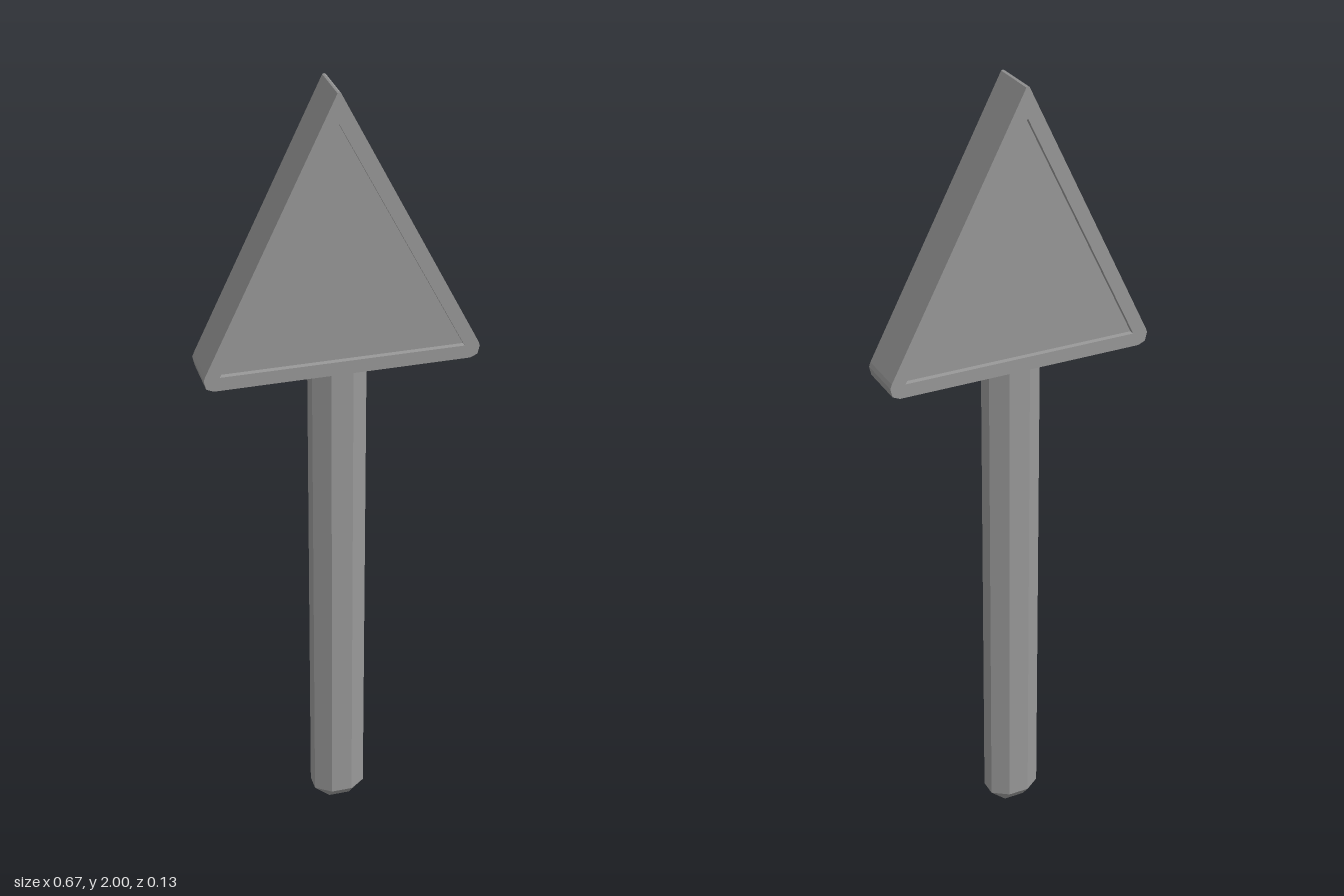
import * as THREE from 'three';
import { ConvexGeometry } from 'three/addons/geometries/ConvexGeometry.js';

export function createModel() {
  const model = new THREE.Group();
  model.name = 'triangleSign';
  const grey = new THREE.MeshStandardMaterial({ color: 0x999999 });
  grey.name = 'grey';

  const add = (name, geometry) => {
    const mesh = new THREE.Mesh(geometry, grey);
    mesh.name = name;
    model.add(mesh);
  };
  const outline = (pts) => pts.map(([x, y]) => new THREE.Vector2(x, y));
  const slab = (shape, depth) =>
    new THREE.ExtrudeGeometry(shape, { depth, bevelEnabled: false }).translate(0, 0, -depth / 2);

  // Triangular frame with clipped corners and a triangular opening
  const opening = [[-0.297, 1.342], [0.297, 1.342], [-0.012, 1.927]];
  const frame = new THREE.Shape(outline([
    [-0.312, 1.308], [0.312, 1.308], [0.33, 1.316], [0.335, 1.338], [0.331, 1.349],
    [-0.008, 1.998], [-0.012, 2], [-0.016, 1.998],
    [-0.331, 1.349], [-0.335, 1.338], [-0.33, 1.316],
  ]));
  frame.holes.push(new THREE.Path(outline(opening)));
  add('signFrame', slab(frame, 0.126));

  // Panel recessed on both faces
  add('signPanel', slab(new THREE.Shape(outline(opening)), 0.098));

  // Post: a box with its upright edges and bottom edges chamfered
  const corners = [];
  for (const sx of [-1, 1]) for (const sz of [-1, 1]) {
    for (const y of [0.035, 1.32]) {
      corners.push(new THREE.Vector3(sx * 0.067, y, sz * 0.022));
      corners.push(new THREE.Vector3(sx * 0.027, y, sz * 0.05));
    }
    corners.push(new THREE.Vector3(sx * 0.027, 0, sz * 0.022));
  }
  add('post', new ConvexGeometry(corners));

  return model;
}
